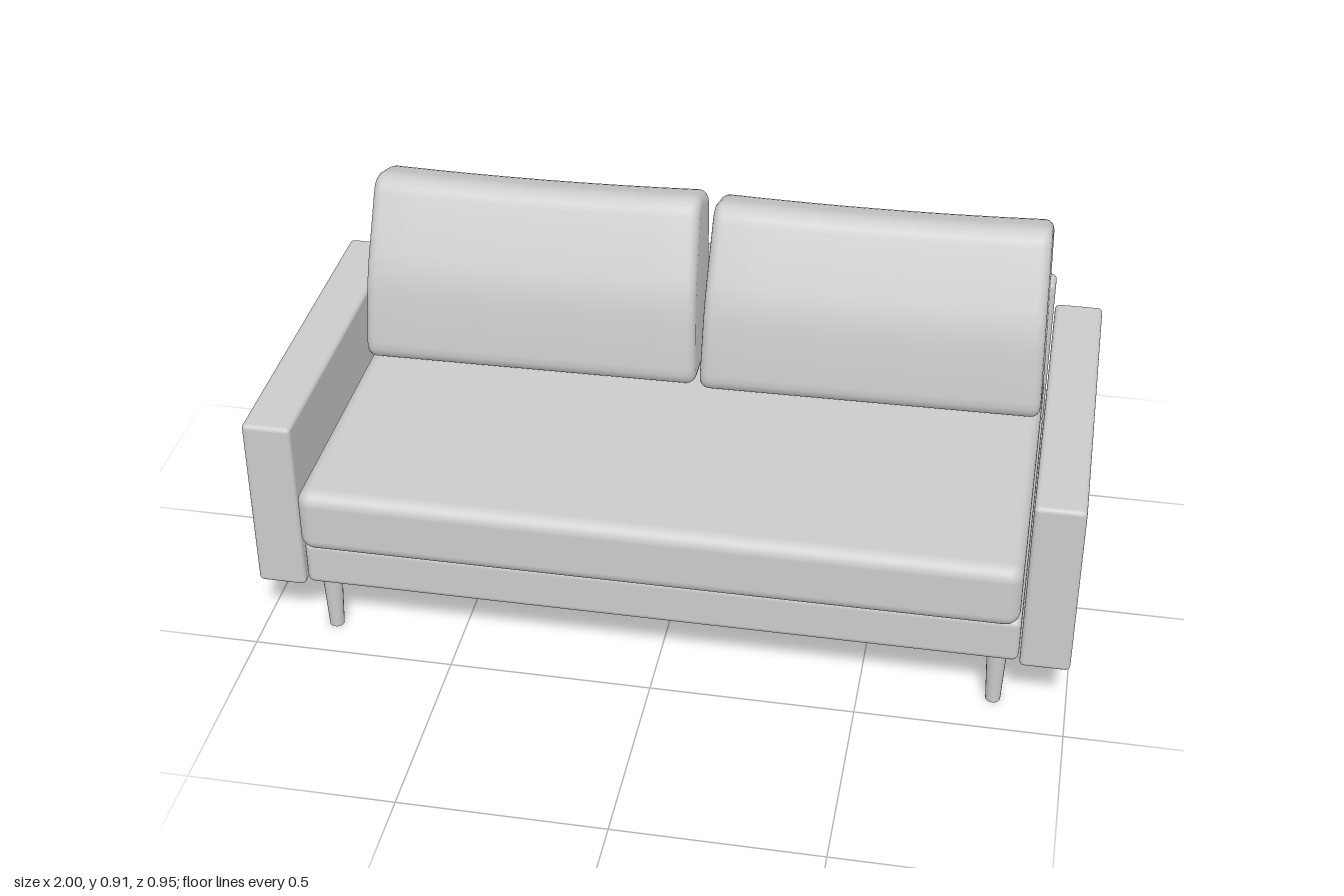
import * as THREE from 'three';
import { RoundedBoxGeometry } from 'three/addons/geometries/RoundedBoxGeometry.js';
import { toCreasedNormals } from 'three/addons/utils/BufferGeometryUtils.js';

const material = new THREE.MeshStandardMaterial({ color: 0xcccccc });

function addMesh(group, name, geometry) {
  const mesh = new THREE.Mesh(geometry, material);
  mesh.name = name;
  group.add(mesh);
  return mesh;
}

// Rounded block given by its minimum and maximum corners
function addBlock(group, name, min, max, radius, segments = 3) {
  const size = max.map((v, i) => v - min[i]);
  const mesh = addMesh(group, name, new RoundedBoxGeometry(...size, segments, radius));
  mesh.position.set(...max.map((v, i) => (v + min[i]) / 2));
}

// Closed outline whose corners [x, y, cut] are softened by a curve
function softOutline(corners) {
  const shape = new THREE.Shape();
  const n = corners.length;
  const at = (i) => new THREE.Vector2(...corners[(i + n) % n].slice(0, 2));
  corners.forEach(([, , cut], i) => {
    const p = at(i);
    const a = at(i - 1).sub(p).setLength(cut).add(p);
    const b = at(i + 1).sub(p).setLength(cut).add(p);
    if (i === 0) shape.moveTo(a.x, a.y);
    else shape.lineTo(a.x, a.y);
    shape.quadraticCurveTo(p.x, p.y, b.x, b.y);
  });
  shape.closePath();
  return shape;
}

// Leaning back cushion: side profile (x is -z) swept across the width
function cushionGeometry() {
  const width = 0.865, bevel = 0.025;
  const outline = softOutline([
    [0.135, 0.45, 0.055],
    [0.37, 0.45, 0.05],
    [0.443, 0.875, 0.05],
    [0.287, 0.925, 0.05],
    [0.172, 0.69, 0.06],
  ]);
  const geometry = new THREE.ExtrudeGeometry(outline, {
    depth: width - 2 * bevel, steps: 8, curveSegments: 5,
    bevelThickness: bevel, bevelSize: bevel, bevelOffset: -bevel, bevelSegments: 4,
  });
  geometry.translate(0, 0, bevel - width / 2);
  geometry.rotateY(Math.PI / 2);

  // Narrow toward the top, sag in the middle of the top edge, turn slightly
  const pos = geometry.attributes.position;
  for (let i = 0; i < pos.count; i++) {
    const x = pos.getX(i), y = pos.getY(i), z = pos.getZ(i);
    const t = (y - 0.45) / 0.47;
    const u = x / (width / 2);
    pos.setXYZ(i, x * (1 - 0.03 * t), y - 0.009 * t * (1 - u * u), z - 0.016 * x);
  }
  return toCreasedNormals(geometry, 0.6);
}

export function createModel() {
  const sofa = new THREE.Group();
  sofa.name = 'sofa';

  // Frame and seat
  addBlock(sofa, 'base', [-0.877, 0.15, -0.47], [0.877, 0.272, 0.43], 0.018);
  addBlock(sofa, 'seatCushion', [-0.872, 0.28, -0.41], [0.872, 0.45, 0.475], 0.036, 5);
  addBlock(sofa, 'backPanel', [-0.877, 0.28, -0.472], [0.877, 0.702, -0.408], 0.014);

  const cushion = cushionGeometry();
  for (const [side, s] of [['left', 1], ['right', -1]]) {
    // Arm
    const x = [s * 0.88, s].sort((a, b) => a - b);
    addBlock(sofa, side + 'Arm', [x[0], 0.145, -0.475], [x[1], 0.61, 0.436], 0.012);

    // Back cushion
    addMesh(sofa, side + 'BackCushion', cushion).position.x = s * 0.438;

    // Tapered legs
    for (const [end, z] of [['Front', 0.388], ['Back', -0.428]]) {
      const leg = addMesh(sofa, side + end + 'Leg', new THREE.CylinderGeometry(0.025, 0.018, 0.16, 20));
      leg.position.set(s * 0.825, 0.08, z);
    }
  }
  return sofa;
}
